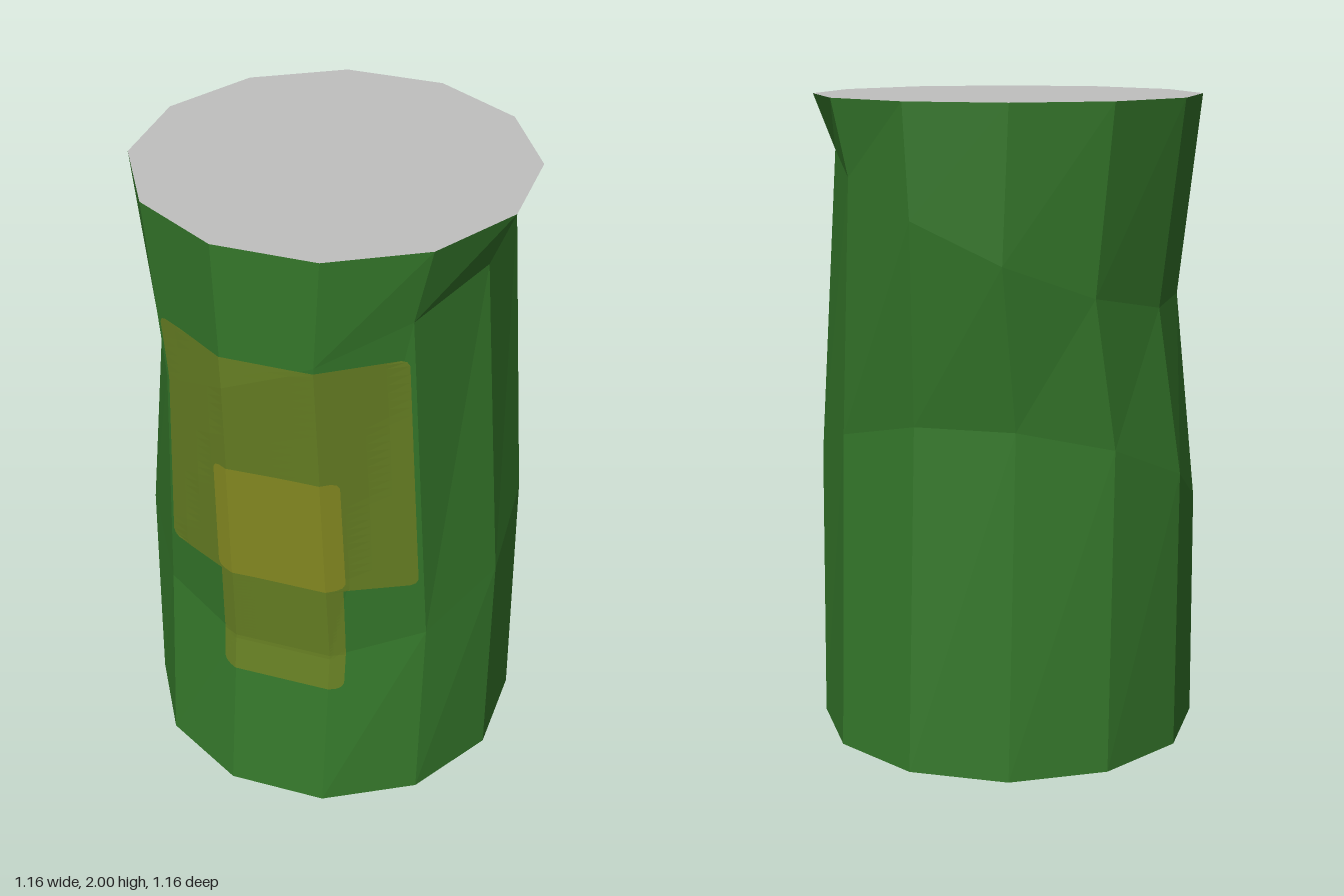
import * as THREE from 'three';

const R = 0.598, SIDES = 12;

// Faceted drum: the lower ring is squeezed front to back, the upper one side to side, both tilted
function drumGeometry() {
  const g = new THREE.CylinderGeometry(R, R, 2, SIDES, 3, false, Math.PI / SIDES);
  const p = g.attributes.position;
  for (let i = 0; i < p.count; i++) {
    const x = p.getX(i), y = p.getY(i), z = p.getZ(i);
    if (Math.abs(y) > 0.9) p.setY(i, y + 1);
    else if (y < 0) p.setXYZ(i, x, 0.8 - 0.433 * z, z * 0.86);
    else p.setXYZ(i, x * 0.88, 1.605 + 0.39 * x, z);
  }
  g.computeVertexNormals();
  return g;
}

// x of a front column edge at height y (k = -1.5, -0.5, 0.5, 1.5)
function columnX(k, y) {
  const a = k * Math.PI * 2 / SIDES, x = R * Math.sin(a), z = R * Math.cos(a);
  const yl = 0.8 - 0.433 * z, yh = 1.605 + 0.39 * x;
  if (y <= yl) return x;
  if (y <= yh) return x * (1 - 0.12 * (y - yl) / (yh - yl));
  return x * (0.88 + 0.12 * (y - yh) / (2 - yh));
}

function xAt(u, y) {
  const k = Math.max(-1.5, Math.min(0.5, Math.floor(u - 0.5) + 0.5));
  return THREE.MathUtils.lerp(columnX(k, y), columnX(k + 1, y), u - k);
}

// Thin painted patch draped over the front facets; half = half width in columns
function patchGeometry(body, half, y0, y1, lift) {
  const ray = new THREE.Raycaster(), dir = new THREE.Vector3(0, 0, -1);
  const rows = [y0, y0 + 0.006, y0 + 0.02], n = 28;
  for (let i = 1; i < n; i++) rows.push(y0 + 0.02 + (y1 - y0 - 0.04) * i / n);
  rows.push(y1 - 0.02, y1 - 0.006, y1);
  const cols = 13, pos = [], idx = [];
  rows.forEach((y, r) => {
    // soft corners
    const e = Math.min(r, rows.length - 1 - r);
    const h = half - [0.09, 0.03, 0][Math.min(e, 2)];
    for (let c = 0; c < cols; c++) {
      const u = c < 4 ? -h + (h - 0.5) * c / 4
        : c > 8 ? 0.5 + (h - 0.5) * (c - 8) / 4
          : -0.5 + (c - 4) / 4;
      const x = xAt(u, y);
      ray.set(new THREE.Vector3(x, y, 2), dir);
      const hit = ray.intersectObject(body)[0];
      pos.push(x, y, (hit ? hit.point.z : 0.45) + lift);
      if (r && c) {
        const d = r * cols + c, a = d - cols - 1;
        idx.push(a, a + 1, d, a, d, d - 1);
      }
    }
  });
  const g = new THREE.BufferGeometry();
  g.setAttribute('position', new THREE.Float32BufferAttribute(pos, 3));
  g.setIndex(idx);
  g.computeVertexNormals();
  return g;
}

export function createModel() {
  const mat = (name, color) => {
    const m = new THREE.MeshStandardMaterial({ color, flatShading: true });
    m.name = name;
    return m;
  };
  const green = mat('green', 0x34762a);
  const grey = mat('grey', 0xc0c0bf);
  const olive = mat('olive', 0x667f23);
  const yellow = mat('mustard', 0x878c22);

  const group = new THREE.Group();
  group.name = 'dentedDrum';
  const body = new THREE.Mesh(drumGeometry(), [green, grey, grey]);
  body.name = 'body';
  body.updateMatrixWorld();
  group.add(body);

  // Painted patches on the front
  const patches = [
    ['largePatch', 1.45, 0.82, 1.65, 0.005, olive],
    ['lowerPatch', 0.67, 0.43, 0.84, 0.004, olive],
    ['centrePatch', 0.7, 0.83, 1.25, 0.008, yellow],
  ];
  for (const [name, half, y0, y1, lift, material] of patches) {
    const m = new THREE.Mesh(patchGeometry(body, half, y0, y1, lift), material);
    m.name = name;
    group.add(m);
  }
  return group;
}
